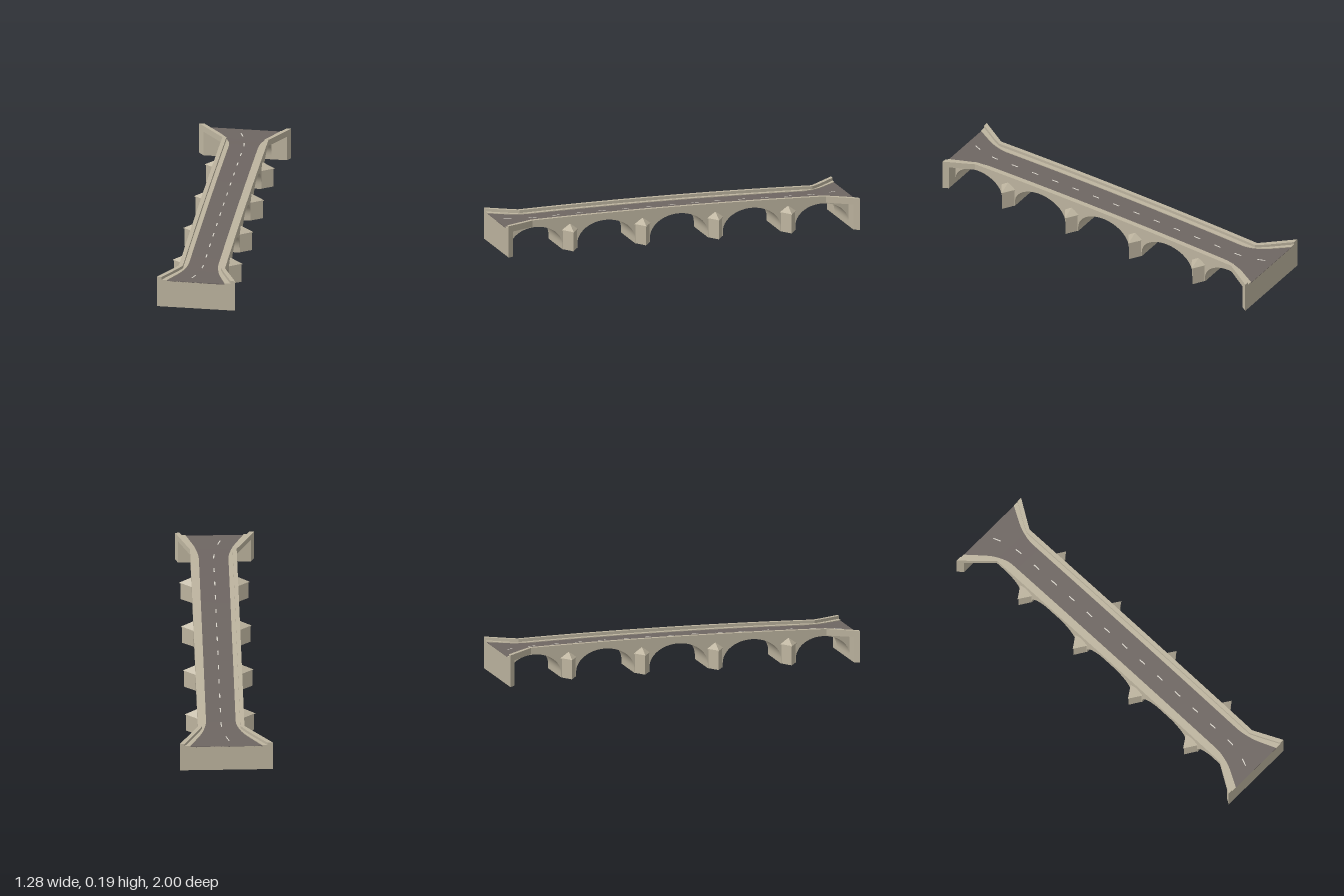
import * as THREE from 'three';
import { toCreasedNormals } from 'three/addons/utils/BufferGeometryUtils.js';
import { ConvexGeometry } from 'three/addons/geometries/ConvexGeometry.js';

// Bridge frame: s runs along the bridge (-z), t across it (+x), y up.
const END = 0.994, BEND = 0.834, HALF = 0.126, WALL = 0.03;
const PIERS = [-0.62, -0.207, 0.207, 0.62], PIER_HALF = 0.042;
const ROAD = 0.155, KERB = 0.022, BAND = 0.046;

const stone = new THREE.MeshStandardMaterial({ color: 0xbdb49f });
const asphalt = new THREE.MeshStandardMaterial({ color: 0x6e6662 });
const paint = new THREE.MeshStandardMaterial({ color: 0xd8d4ca });

// gentle hump of the deck
const rise = s => 0.012 * Math.max(0, 1 - (s / 0.86) ** 2);
const roadY = s => ROAD + rise(s);

// splay of each side beyond the bend
const slope = (s, side) => (side < 0 ? (s < 0 ? 0.098 : 0.15) : (s < 0 ? 0.077 : 0.101)) / (END - BEND);
const outer = (s, side) => HALF + slope(s, side) * Math.max(0, Math.abs(s) - BEND);
// line parallel to the outer edge, moved inwards
function inset(s, side, d) {
  const k = slope(s, side);
  const f = Math.min(1, Math.max(0, (Math.abs(s) - BEND) / 0.05));
  return outer(s, side) - d * (1 + f * (Math.hypot(1, k) - 1));
}
// road edge with a rounded bend
function roadEdge(s, side) {
  const r = 0.075, e = Math.abs(s) - BEND, k = slope(s, side);
  const soft = e < -r ? 0 : e > r ? e : (e + r) ** 2 / (4 * r);
  return HALF - BAND + k * soft - 0.01 * Math.max(0, e / 0.16);
}

// stations along the deck, denser near the bends
const stations = [];
for (let i = 0; i <= 24; i++) stations.push(-0.72 + i * 0.06);
for (let i = 0; i < 12; i++) {
  const s = 0.743 + (END - 0.743) * i / 11;
  stations.push(s, -s);
}
stations.push(BEND, -BEND);
stations.sort((a, b) => a - b);

// solid swept through cross-sections of [t, y] points
function loft(list, section) {
  const rings = list.map(s => {
    const pts = section(s).map(p => new THREE.Vector2(p[0], p[1]));
    if (THREE.ShapeUtils.area(pts) < 0) pts.reverse();
    return pts.map(p => [p.x, p.y, -s]);
  });
  const pos = [], n = rings[0].length;
  const tri = (a, b, c) => pos.push(...a, ...b, ...c);
  for (let i = 0; i < rings.length - 1; i++) {
    for (let k = 0; k < n; k++) {
      const m = (k + 1) % n, p = rings[i], q = rings[i + 1];
      tri(p[k], q[k], q[m]);
      tri(p[k], q[m], p[m]);
    }
  }
  const a = rings[0], b = rings[rings.length - 1];
  for (let k = 1; k < n - 1; k++) {
    tri(a[0], a[k], a[k + 1]);
    tri(b[0], b[k + 1], b[k]);
  }
  const g = new THREE.BufferGeometry();
  g.setAttribute('position', new THREE.Float32BufferAttribute(pos, 3));
  return toCreasedNormals(g, 0.35);
}

const box = (t0, t1, y0, y1) => [[t0, y0], [t1, y0], [t1, y1], [t0, y1]];

export function createModel() {
  const bridge = new THREE.Group();
  bridge.name = 'bridge';
  const add = (name, geometry, material = stone, parent = bridge) => {
    const mesh = new THREE.Mesh(geometry, material);
    mesh.name = name;
    parent.add(mesh);
    return mesh;
  };

  // piers, vaults and spandrels in one extruded side profile
  const profile = new THREE.Shape();
  profile.moveTo(-END + 0.002, 0);
  const edges = [-END + WALL, ...PIERS.flatMap(p => [p - PIER_HALF, p + PIER_HALF]), END - WALL];
  for (let i = 0; i < edges.length; i += 2) {
    const c = (edges[i] + edges[i + 1]) / 2, r = (edges[i + 1] - edges[i]) / 2;
    const spring = 0.025, height = 0.136 + rise(c) - spring;
    profile.lineTo(edges[i], 0);
    for (let k = 0; k <= 24; k++) {
      const a = Math.PI * (1 - k / 24);
      profile.lineTo(c + r * Math.cos(a), spring + height * Math.sin(a));
    }
    profile.lineTo(edges[i + 1], 0);
  }
  profile.lineTo(END - 0.002, 0);
  for (let i = 0; i <= 24; i++) {
    const s = (END - 0.002) * (1 - i / 12);
    profile.lineTo(s, roadY(s) - 0.006);
  }
  const width = 2 * HALF - 0.006;
  const arches = new THREE.ExtrudeGeometry(profile, { depth: width, bevelEnabled: false });
  arches.rotateY(Math.PI / 2).translate(-width / 2, 0, 0);
  add('archesAndPiers', toCreasedNormals(arches, 0.35));

  // deck slab with splayed ends
  add('deckSlab', loft(stations, s =>
    box(-outer(s, -1), outer(s, 1), 0.14 + rise(s), roadY(s) - 0.002)));

  // carriageway
  add('road', loft(stations, s =>
    box(-roadEdge(s, -1), roadEdge(s, 1), roadY(s) - 0.004, roadY(s))), asphalt);

  // pavements and parapets on both sides
  for (const side of [-1, 1]) {
    const name = side > 0 ? 'left' : 'right';
    add(name + 'Pavement', loft(stations, s => box(
      side * Math.min(roadEdge(s, side), inset(s, side, KERB) - 0.002),
      side * (inset(s, side, KERB) + 0.002), roadY(s) - 0.004, roadY(s) + 0.004)));
    add(name + 'Parapet', loft(stations, s => box(
      side * inset(s, side, KERB), side * outer(s, side), roadY(s) - 0.004, roadY(s) + 0.02)));
  }

  // end walls
  for (const [name, s0, s1] of [['frontEndWall', -END, -END + WALL], ['backEndWall', END - WALL, END]]) {
    add(name, loft([s0, s1], s => box(-outer(s, -1), outer(s, 1), 0, 0.141)));
  }

  // pointed cutwaters with sloping caps
  const V = (t, y, s) => new THREE.Vector3(t, y, -s);
  for (const p of PIERS) {
    for (const side of [-1, 1]) {
      const cutwater = new THREE.Group();
      cutwater.name = 'cutwater';
      bridge.add(cutwater);
      const wedge = (y, grow) => [
        V(side * 0.118, y, p - PIER_HALF - grow), V(side * 0.118, y, p + PIER_HALF + grow),
        V(side * (0.184 + grow), y, p)];
      add('cutwaterBody', new ConvexGeometry([...wedge(0, 0), ...wedge(0.107, 0)]), stone, cutwater);
      add('cutwaterCap', new ConvexGeometry([
        ...wedge(0.104, 0.006), ...wedge(0.108, 0.006), V(side * 0.118, 0.14, p), V(side * 0.126, 0.14, p),
      ]), stone, cutwater);
    }
  }

  // dashed centre line, drifting sideways at the splayed ends
  const centre = s => -1.2 * Math.max(0, Math.abs(s) - 0.76) ** 2;
  for (let i = -7; i <= 7; i++) {
    const s = i * 0.132;
    add('laneDash', loft([s - 0.02, s, s + 0.02], q =>
      box(centre(q) - 0.003, centre(q) + 0.003, roadY(q) - 0.002, roadY(q) + 0.0008)), paint);
  }

  // turn the bridge to its diagonal
  bridge.rotation.y = -THREE.MathUtils.degToRad(26.2);
  bridge.position.set(-0.003, 0, 0.017);
  const model = new THREE.Group();
  model.name = 'archBridge';
  model.add(bridge);
  return model;
}
